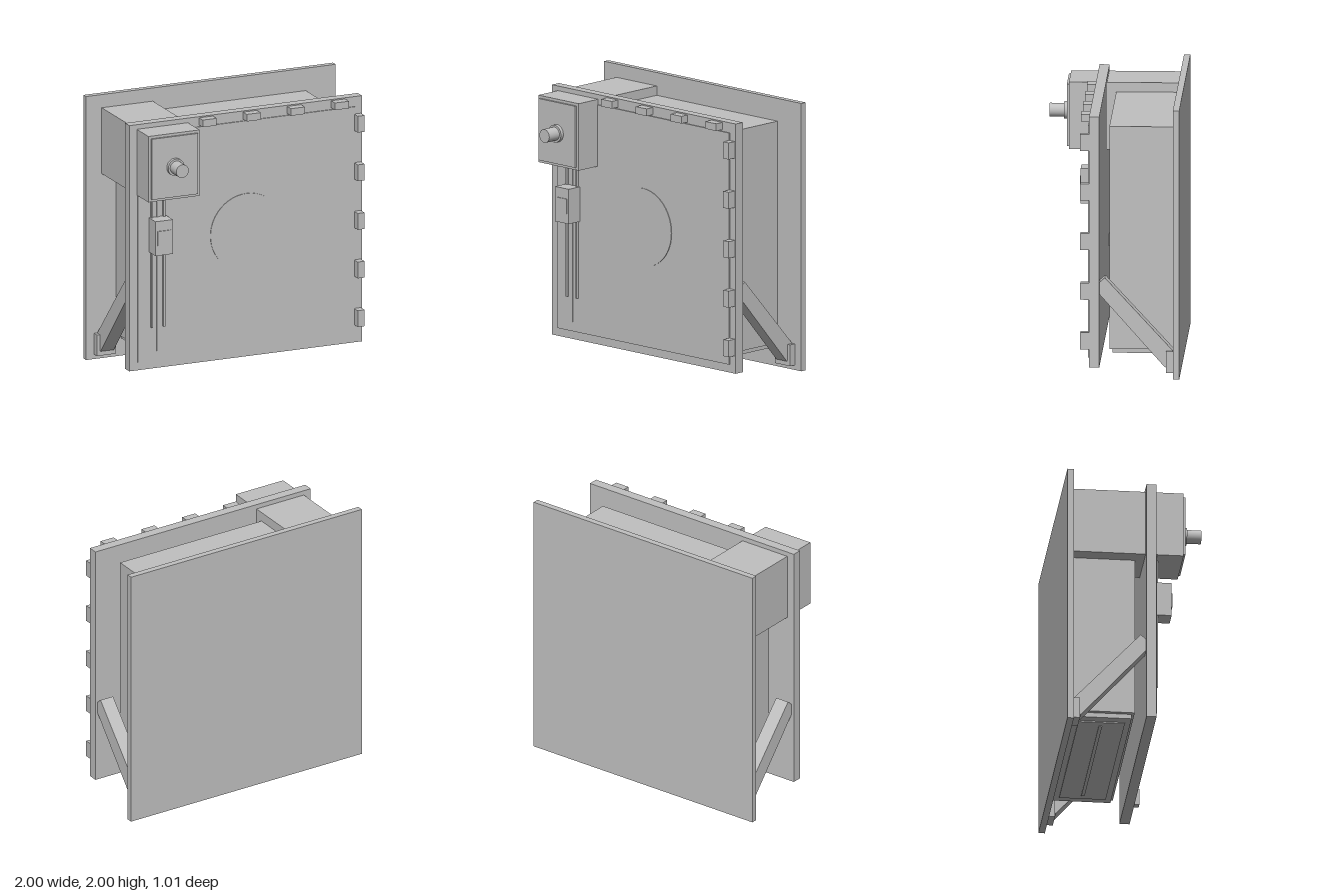
import * as THREE from 'three';

export function createModel() {
  const model = new THREE.Group();
  model.name = 'wallCabinet';
  const grey = new THREE.MeshStandardMaterial({ color: 0xbfbfbf });
  grey.name = 'grey';

  const add = (name, geometry) => {
    const mesh = new THREE.Mesh(geometry, grey);
    mesh.name = name;
    model.add(mesh);
    return mesh;
  };
  // Box given by its limits on each axis
  const box = (name, x0, x1, y0, y1, z0, z1) => {
    add(name, new THREE.BoxGeometry(x1 - x0, y1 - y0, z1 - z0))
      .position.set((x0 + x1) / 2, (y0 + y1) / 2, (z0 + z1) / 2);
  };
  // Cylinder lying along z
  const disc = (name, x, y, z0, z1, r) => {
    add(name, new THREE.CylinderGeometry(r, r, z1 - z0, 48).rotateX(Math.PI / 2))
      .position.set(x, y, (z0 + z1) / 2);
  };

  // Plates and main housing
  box('backPlate', -1, 1, 0, 2, -0.506, -0.459);
  box('housing', -0.76, 0.76, 0.175, 1.83, -0.459, 0.013);
  box('frontPlate', -0.935, 0.93, 0.07, 1.935, 0.08, 0.154);
  box('frontPanel', -0.87, 0.87, 0.13, 1.86, 0.154, 0.163);
  disc('centreDisc', 0, 1.02, 0.163, 0.168, 0.29);

  // Stepped tray under the housing
  box('trayRim', -0.73, 0.73, 0.14, 0.175, -0.44, -0.008);
  box('trayPanel', -0.66, 0.66, 0.131, 0.14, -0.39, -0.05);
  box('trayStrip', -0.6, 0.6, 0.126, 0.131, -0.235, -0.21);

  // Control box with its knob
  box('controlBox', -0.875, -0.465, 1.4, 1.9, -0.459, 0.358);
  box('controlFace', -0.855, -0.485, 1.42, 1.88, 0.358, 0.374);
  disc('knobCollar', -0.67, 1.65, 0.374, 0.4, 0.065);
  disc('knob', -0.67, 1.65, 0.4, 0.506, 0.05);

  // Slider on its rails
  box('leftRail', -0.77, -0.756, 0.385, 1.4, 0.16, 0.18);
  box('rightRail', -0.672, -0.658, 0.385, 1.4, 0.16, 0.18);
  box('middleGuide', -0.72, -0.71, 0.2, 1.4, 0.16, 0.17);
  box('slider', -0.782, -0.642, 0.96, 1.22, 0.163, 0.28);
  box('sliderButton', -0.765, -0.66, 1.035, 1.145, 0.28, 0.287);

  // Clamps along the top and the left edge
  for (const x of [-0.32, 0.033, 0.386, 0.739])
    box('topClamp', x - 0.056, x + 0.056, 1.872, 1.926, 0.154, 0.219);
  for (let i = 0; i < 5; i++) {
    const y = 0.265 + i * 0.369;
    box('sideClamp', 0.866, 0.921, y - 0.062, y + 0.062, 0.154, 0.219);
  }

  // Diagonal struts and their feet; shape x is -z
  const strut = new THREE.Shape([
    [-0.08, 0.612], [0.4, 0.07], [0.457, 0.13], [0.457, 0.195], [-0.04, 0.735], [-0.08, 0.7],
  ].map(([a, b]) => new THREE.Vector2(a, b)));
  for (const s of [-1, 1]) {
    const geometry = new THREE.ExtrudeGeometry(strut, { depth: 0.108, bevelEnabled: false });
    geometry.translate(0, 0, -0.054).rotateY(Math.PI / 2);
    add('strut', geometry).position.x = s * 0.858;
    box('strutFoot', s * 0.86 - 0.076, s * 0.86 + 0.076, 0.036, 0.195, -0.459, -0.408);
  }
  return model;
}
